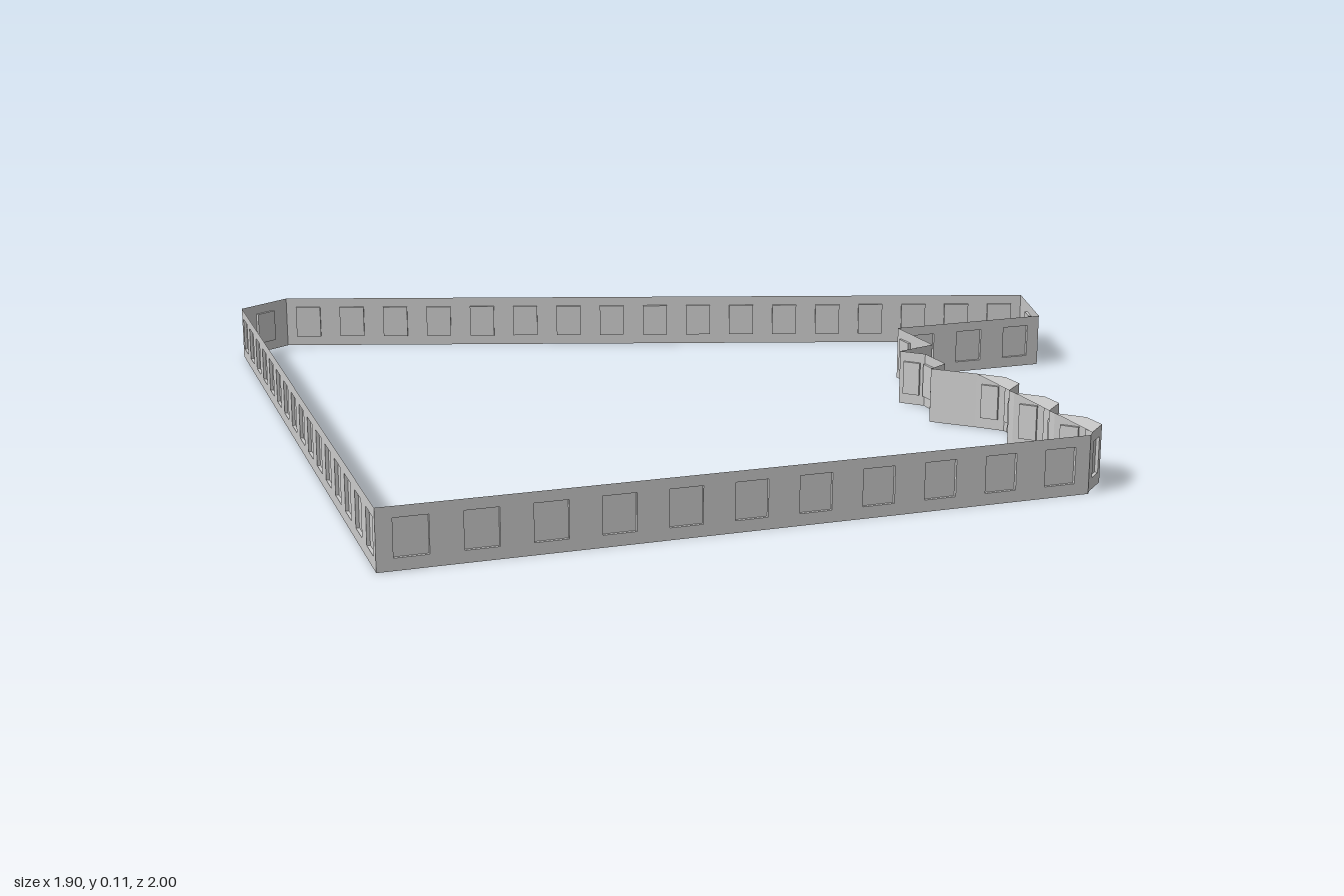
import * as THREE from 'three';
import { mergeGeometries } from 'three/addons/utils/BufferGeometryUtils.js';

const HEIGHT = 0.11, SILL = 0.022, HEAD = 0.09, DEPTH = 0.006;
const material = new THREE.MeshStandardMaterial({ color: 0xcccccc, side: THREE.DoubleSide, flatShading: true });

// Box without its front face: pane plus four reveals
function windowRecess(width, x) {
  const box = new THREE.BoxGeometry(width, HEAD - SILL, DEPTH);
  const index = Array.from(box.index.array);
  index.splice(24, 6);
  box.setIndex(index);
  return box.translate(x, (SILL + HEAD) / 2, -DEPTH / 2);
}

// Thin wall from a to b, outside on local +z, with evenly spaced recessed windows
function wall(name, a, b, count = 0, width = 0.055) {
  const dx = b[0] - a[0], dz = b[1] - a[1], length = Math.hypot(dx, dz);
  const shape = new THREE.Shape();
  shape.moveTo(0, 0).lineTo(length, 0).lineTo(length, HEIGHT).lineTo(0, HEIGHT).closePath();
  const parts = [];
  for (let i = 0; i < count; i++) {
    const x = (i + 0.5) * length / count, l = x - width / 2, r = x + width / 2;
    const hole = new THREE.Path();
    hole.moveTo(l, SILL).lineTo(l, HEAD).lineTo(r, HEAD).lineTo(r, SILL).closePath();
    shape.holes.push(hole);
    parts.push(windowRecess(width, x));
  }
  parts.push(new THREE.ShapeGeometry(shape));
  const mesh = new THREE.Mesh(mergeGeometries(parts), material);
  mesh.name = name;
  mesh.position.set(a[0], 0, a[1]);
  mesh.rotation.y = Math.atan2(-dz, dx);
  return mesh;
}

// Flat roof over a bay
function bayRoof(points) {
  const shape = new THREE.Shape(points.map(([x, z]) => new THREE.Vector2(x, -z)));
  const mesh = new THREE.Mesh(new THREE.ShapeGeometry(shape).rotateX(-Math.PI / 2), material);
  mesh.name = 'bayRoof';
  mesh.position.y = HEIGHT;
  return mesh;
}

export function createModel() {
  const model = new THREE.Group();
  model.name = 'buildingFloor';
  const frontLeft = [-0.92, 0.49], frontRight = [0.525, 1], sideEnd = [0.945, -0.225];
  const backTip = [0.055, -1], notchOuter = [0.23, -0.87], notchInner = [0.125, -0.54];
  const porchEnd = [0.28, -0.49], longEnd = [-0.955, 0.36];

  // Main straight walls
  model.add(
    wall('frontWall', frontLeft, frontRight, 16),
    wall('sideWall', frontRight, sideEnd, 11, 0.06),
    wall('notchFrontWall', porchEnd, notchInner, 2, 0.042),
    wall('notchSideWall', notchInner, notchOuter, 3, 0.06),
    wall('backEndWall', notchOuter, backTip, 1, 0.05),
    wall('longWall', backTip, longEnd, 17),
    wall('cornerWall', longEnd, frontLeft, 1, 0.05)
  );

  // Three roofed bays in a stepped row
  let last = sideEnd;
  for (let i = 0; i < 3; i++) {
    const x = -0.148 * i, z = -0.05 * i;
    const points = [[0.935, -0.24], [0.91, -0.295], [0.86, -0.31], [0.805, -0.285]]
      .map(p => [p[0] + x, p[1] + z]);
    const bay = new THREE.Group();
    bay.name = 'bay';
    bay.add(wall('bayLink', last, points[0]), bayRoof(points));
    for (let k = 0; k < 3; k++) bay.add(wall('bayWall', points[k], points[k + 1], 1, 0.035));
    model.add(bay);
    last = points[3];
  }

  // Open bay beside the notch
  const open = [[0.425, -0.342], [0.412, -0.395], [0.33, -0.42], [0.28, -0.397]];
  const windows = [1, 2, 1];
  const bay = new THREE.Group();
  bay.name = 'openBay';
  bay.add(wall('bayLink', last, open[0]), wall('bayLink', open[3], porchEnd));
  windows.forEach((n, k) => bay.add(wall('bayWall', open[k], open[k + 1], n, 0.035)));
  model.add(bay);
  return model;
}
